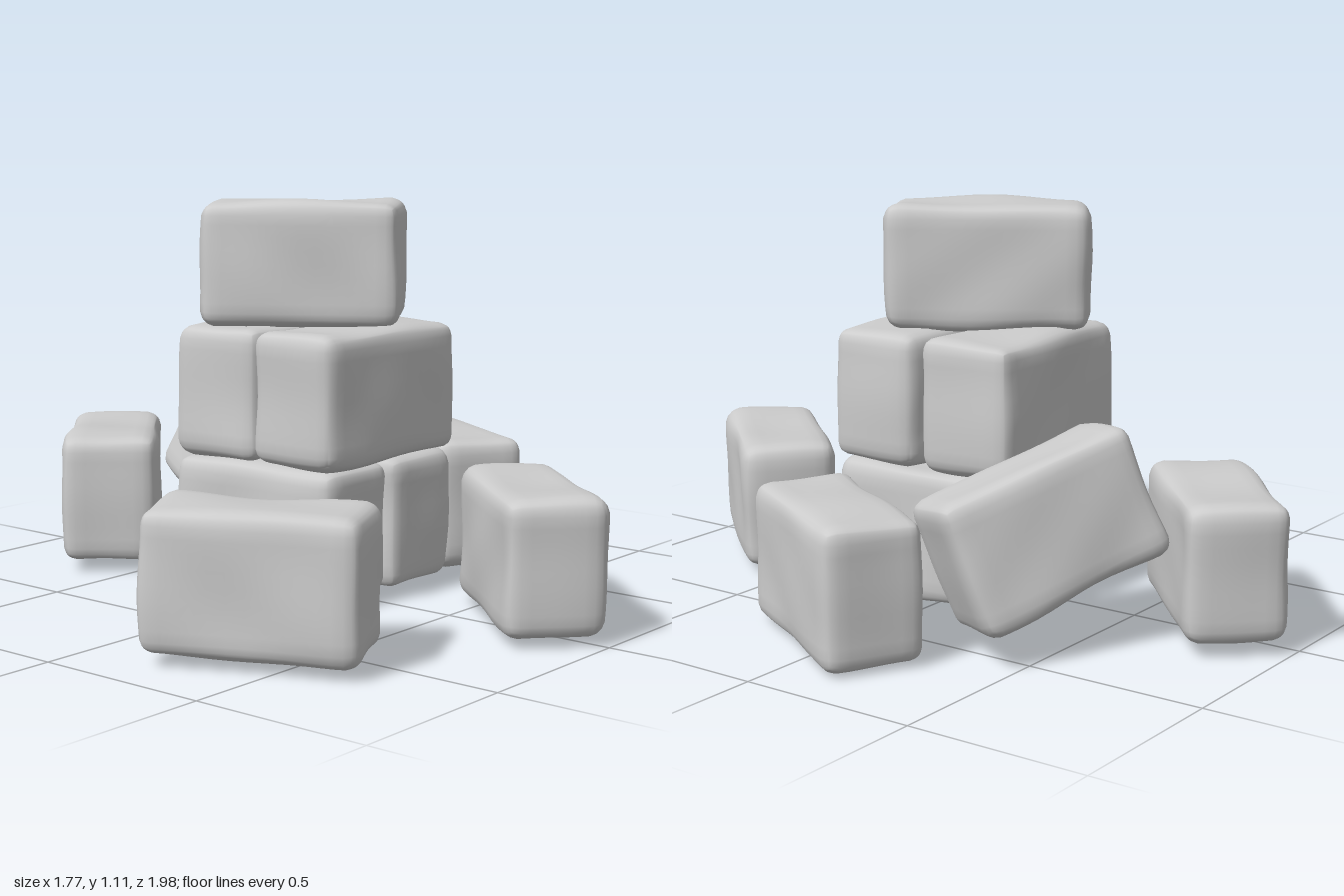
import * as THREE from 'three';
import { mergeVertices } from 'three/addons/utils/BufferGeometryUtils.js';

const RADIUS = 0.045;
const deg = THREE.MathUtils.degToRad;

// Worn brick: a box with soft rounded edges and gently uneven faces
function brickGeometry(length, height, width, seed) {
  let geo = new THREE.BoxGeometry(2, 2, 2, 18, 14, 12);
  geo.deleteAttribute('uv');
  geo.deleteAttribute('normal');
  geo = mergeVertices(geo, 1e-4);
  const half = new THREE.Vector3(length, height, width).multiplyScalar(0.5);
  const inner = half.clone().subScalar(RADIUS);
  const pos = geo.attributes.position;
  const p = new THREE.Vector3();
  const core = new THREE.Vector3();
  const crowd = (u) => Math.sin(u * Math.PI / 2); // more rows near the edges
  for (let i = 0; i < pos.count; i++) {
    p.fromBufferAttribute(pos, i);
    p.set(crowd(p.x), crowd(p.y), crowd(p.z)).multiply(half);
    core.copy(p).clamp(inner.clone().negate(), inner);
    const dir = p.clone().sub(core).normalize();
    const wave = Math.sin(p.x * 13 + seed * 2.1) * Math.cos(p.y * 11 + p.z * 9 + seed * 1.3)
      + 0.6 * Math.sin(p.z * 19 - p.x * 8 + seed * 3.7)
      + 0.4 * Math.sin(p.y * 23 + p.x * 17 + seed);
    p.copy(core).addScaledVector(dir, RADIUS + 0.005 * wave);
    pos.setXYZ(i, p.x, p.y, p.z);
  }
  geo.computeVertexNormals();
  return geo;
}

export function createModel() {
  const group = new THREE.Group();
  const material = new THREE.MeshStandardMaterial({ color: 0xcccccc });

  // name, centre, yaw, size (length, height, width), then slope and roll for the leaning one
  const bricks = [
    // bottom course, laid front to back
    ['lowerLeftBrick', [0.175, 0.205, 0.0], 90, [0.57, 0.37, 0.275]],
    ['lowerRightBrick', [-0.115, 0.205, 0.0], 91, [0.56, 0.37, 0.28]],
    // middle course, laid side to side
    ['middleFrontBrick', [0.03, 0.575, 0.155], -1, [0.575, 0.365, 0.285]],
    ['middleBackBrick', [0.03, 0.575, -0.135], 2, [0.565, 0.365, 0.285]],
    // single top brick
    ['topBrick', [0.01, 0.925, -0.02], -57, [0.555, 0.345, 0.26]],
    // bricks scattered on the ground
    ['backBrick', [-0.05, 0.215, -0.72], 42, [0.55, 0.365, 0.275]],
    ['rightBrick', [-0.66, 0.21, 0.4], -65, [0.565, 0.37, 0.275]],
    ['frontBrick', [0.08, 0.2, 0.705], 48, [0.565, 0.36, 0.27]],
    ['leftBrick', [0.635, 0.195, 0.015], 60, [0.565, 0.375, 0.275]],
    // brick leaning behind the stack
    ['leaningBrick', [0.35, 0.315, -0.43], -28, [0.56, 0.36, 0.27], -18, 11],
  ];

  bricks.forEach(([name, centre, yaw, size, slope = 0, roll = 0], i) => {
    const mesh = new THREE.Mesh(brickGeometry(...size, i + 1), material);
    mesh.name = name;
    mesh.position.set(...centre);
    mesh.rotation.set(deg(roll), deg(yaw), deg(slope), 'YZX');
    group.add(mesh);
  });
  return group;
}
